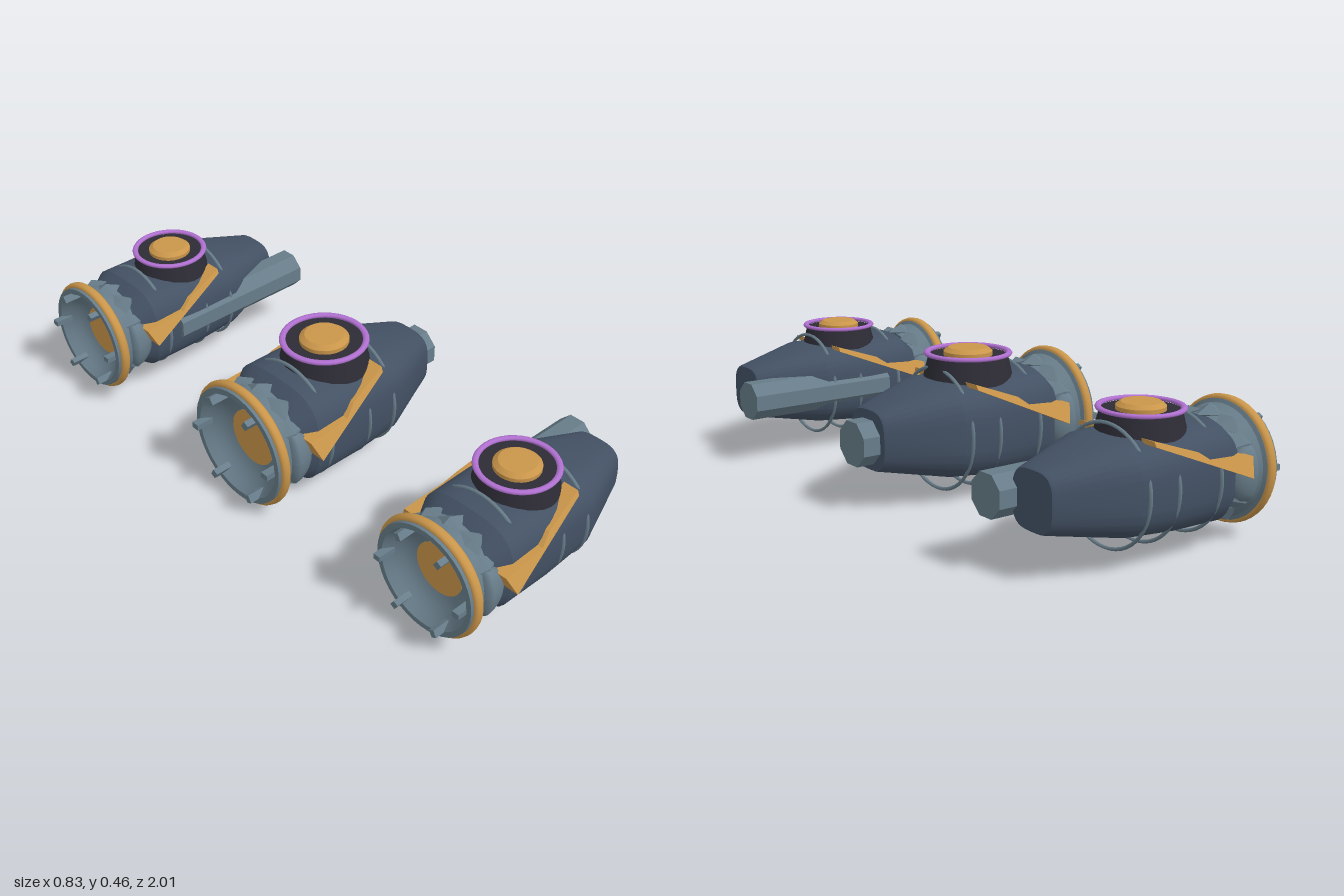
import * as THREE from 'three';
import { toCreasedNormals } from 'three/addons/utils/BufferGeometryUtils.js';

const mat = (name, color, side = THREE.FrontSide) => {
  const m = new THREE.MeshStandardMaterial({ color, side });
  m.name = name;
  return m;
};
const hullBlue = mat('hull blue', 0x435164);
const steel = mat('steel grey', 0x677c89, THREE.DoubleSide);
const gold = mat('gold', 0xc9954a);
const purple = mat('purple', 0xb070d0);
const dark = mat('dark', 0x2d2c36);

function add(parent, name, geo, material, x = 0, y = 0, z = 0) {
  const m = new THREE.Mesh(geo, material);
  m.name = name;
  m.position.set(x, y, z);
  parent.add(m);
  return m;
}

// Lathe whose axis runs along x; profile points are [radius, x]
function latheX(points, segments) {
  const g = new THREE.LatheGeometry(points.map(p => new THREE.Vector2(...p)), segments);
  return g.rotateZ(-Math.PI / 2);
}

// Rounded-square hull lofted along x; sections are [x, top, bottom, halfWidth]
function hullGeometry() {
  const sections = [
    [-0.29, 0.11, -0.11, 0.14], [-0.25, 0.145, -0.135, 0.168], [-0.215, 0.175, -0.161, 0.187],
    [-0.04, 0.17, -0.155, 0.193], [0.125, 0.159, -0.138, 0.191],
    [0.35, 0.102, -0.092, 0.096], [0.356, 0.098, -0.088, 0.091],
  ];
  const n = 32, pos = [], idx = [];
  const power = c => Math.sign(c) * Math.pow(Math.abs(c), 2 / 3.2);
  for (const [x, top, bottom, w] of sections) {
    for (let j = 0; j < n; j++) {
      const a = j / n * Math.PI * 2;
      pos.push(x, (top + bottom) / 2 + power(Math.cos(a)) * (top - bottom) / 2, power(Math.sin(a)) * w);
    }
  }
  for (let i = 0; i < sections.length - 1; i++) {
    for (let j = 0; j < n; j++) {
      const a = i * n + j, b = i * n + (j + 1) % n;
      idx.push(a, b, a + n, b, b + n, a + n);
    }
  }
  // nose cap
  const last = (sections.length - 1) * n, centre = pos.length / 3;
  pos.push(0.356, 0.005, 0);
  for (let j = 0; j < n; j++) idx.push(centre, last + j, last + (j + 1) % n);
  const g = new THREE.BufferGeometry();
  g.setAttribute('position', new THREE.Float32BufferAttribute(pos, 3));
  g.setIndex(idx);
  return toCreasedNormals(g, 0.4);
}

// Slanted gold blade that leans inwards as it rises (side = +1 or -1)
function bladeGeometry(side) {
  const depth = 0.055;
  const s = new THREE.Shape();
  [[-0.268, 0.071], [-0.246, 0.011], [0.066, 0.149], [0.068, 0.165], [-0.075, 0.113], [-0.115, 0.082]]
    .forEach((p, i) => i ? s.lineTo(...p) : s.moveTo(...p));
  const g = new THREE.ExtrudeGeometry(s, { depth, bevelEnabled: false });
  const p = g.attributes.position;
  for (let i = 0; i < p.count; i++) {
    const lean = 0.237 - (p.getY(i) - 0.017) * 0.5;
    p.setZ(i, side > 0 ? lean - depth + p.getZ(i) : p.getZ(i) - lean);
  }
  g.computeVertexNormals();
  return g;
}

// Octagonal barrel with flats facing sideways
function barrel(parent, name, x0, x1, flat, z) {
  const r = flat / Math.cos(Math.PI / 8);
  const g = new THREE.CylinderGeometry(r, r, x1 - x0, 8).rotateY(Math.PI / 8).rotateZ(-Math.PI / 2);
  add(parent, name, toCreasedNormals(g, 0.3), steel, (x0 + x1) / 2, 0, z);
}

function createTurret() {
  const t = new THREE.Group();
  t.name = 'turret';
  add(t, 'turretBase', new THREE.CylinderGeometry(0.126, 0.148, 0.09, 32), dark, 0, 0.178);
  const ring = new THREE.TorusGeometry(0.13, 0.0105, 8, 40).rotateX(Math.PI / 2).scale(1, 0.7, 1);
  add(t, 'turretRing', ring, purple, 0, 0.23);
  const dome = [[0.078, 0.215], [0.078, 0.236], [0.062, 0.248], [0, 0.249]];
  const g = new THREE.LatheGeometry(dome.map(p => new THREE.Vector2(...p)), 28);
  add(t, 'turretCap', toCreasedNormals(g, 0.4), gold);
  return t;
}

function createPod(k) {
  const pod = new THREE.Group();
  pod.name = 'pod';
  add(pod, 'hull', hullGeometry(), hullBlue);

  // hoops showing through the flats of the hull
  for (const x of [-0.165, -0.006, 0.1]) {
    add(pod, 'hoop', new THREE.TorusGeometry(0.194, 0.006, 6, 48).rotateY(Math.PI / 2), steel, x);
  }

  // rear intake: bowl, rim and neck in one profile
  const bowl = [[0.09, -0.318], [0.11, -0.324], [0.135, -0.338], [0.158, -0.36], [0.176, -0.385],
    [0.195, -0.385], [0.198, -0.342], [0.186, -0.336], [0.178, -0.315], [0.158, -0.262]];
  add(pod, 'intake', toCreasedNormals(latheX(bowl, 40), 0.6), steel);
  add(pod, 'intakeCore', new THREE.CylinderGeometry(0.094, 0.094, 0.008, 32).rotateZ(Math.PI / 2), gold, -0.317);
  const band = new THREE.TorusGeometry(0.198, 0.0125, 10, 48).rotateY(Math.PI / 2).scale(1.3, 1, 1);
  add(pod, 'intakeBand', band, gold, -0.359);

  // pegs around the rim
  for (let i = 0; i < 6; i++) {
    const a = Math.PI / 2 + i * Math.PI / 3;
    const g = new THREE.BoxGeometry(0.06, 0.026, 0.02).translate(-0.386, 0.164, 0).rotateX(a);
    add(pod, 'rimPeg', g, steel);
  }

  // side domes with pointed studs between them
  for (const s of [1, -1]) {
    const dome = new THREE.SphereGeometry(1, 20, 12).scale(0.022, 0.042, 0.093);
    const p = dome.attributes.position;
    for (let i = 0; i < p.count; i++) if (p.getX(i) > 0) p.setX(i, p.getX(i) * 3.2);
    dome.computeVertexNormals();
    add(pod, 'sideDome', dome.translate(-0.299, 0.158, 0).rotateX(s * Math.PI / 2), steel);
    for (const deg of [30, 60, 90, 120, 150]) {
      const stud = new THREE.OctahedronGeometry(1).scale(0.055, 0.03, 0.05)
        .translate(-0.292, 0.163, 0).rotateX(s * Math.PI / 2 + deg * Math.PI / 180);
      add(pod, 'stud', stud, steel);
    }
    add(pod, s > 0 ? 'leftBlade' : 'rightBlade', bladeGeometry(s), gold);
  }

  // the turret stays round and sits slightly lower on smaller pods
  const turret = createTurret();
  turret.position.set(-0.022, (k - 1) * 0.06, 0);
  turret.scale.x = k;
  pod.add(turret);
  pod.scale.set(1, k, k);
  return pod;
}

export function createModel() {
  const model = new THREE.Group();
  model.name = 'podTrio';

  const middle = createPod(1);
  middle.name = 'middlePod';
  middle.position.y = 0.212;
  barrel(middle, 'noseBarrel', 0.3, 0.414, 0.068, 0);
  model.add(middle);

  // smaller outer pods, each with a long barrel on its inner side
  for (const s of [1, -1]) {
    const pod = createPod(0.9);
    pod.name = s > 0 ? 'frontPod' : 'backPod';
    pod.position.set(0, 0.217, s * 0.787);
    barrel(pod, 'sideBarrel', -0.12, 0.414, 0.068, -s * 0.136);
    model.add(pod);
  }
  return model;
}
